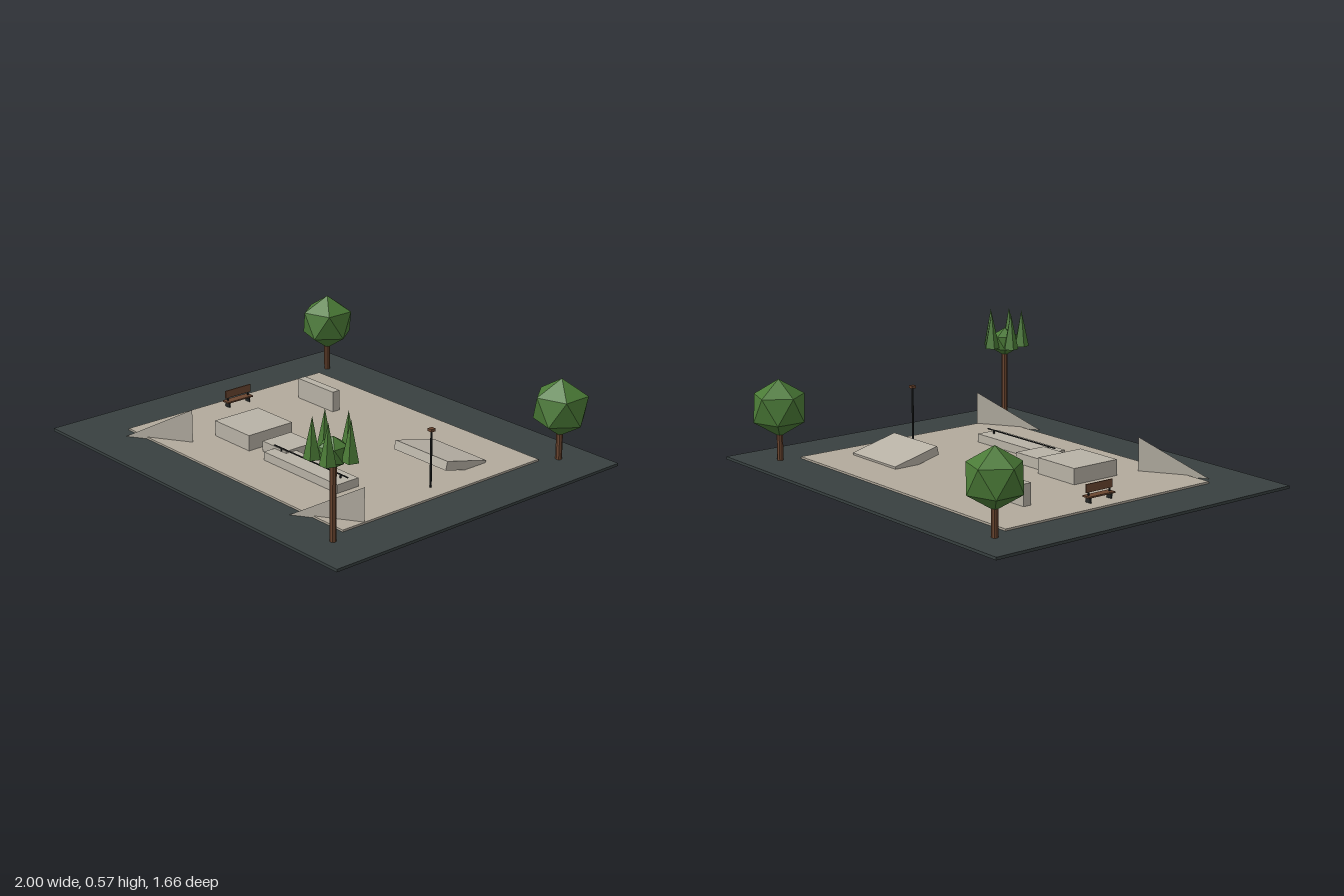
import * as THREE from 'three';

const mat = (name, color, extra = {}) => {
  const m = new THREE.MeshStandardMaterial({ color, flatShading: true, ...extra });
  m.name = name;
  return m;
};

export function createModel() {
  const root = new THREE.Group();
  root.name = 'skatePark';
  const asphalt = mat('asphalt', 0x384040);
  const paving = mat('paving', 0xb2aa9c);
  const concrete = mat('concrete', 0xb8b2a6);
  const sheet = mat('concreteSheet', 0xb8b2a6, { side: THREE.DoubleSide });
  const wood = mat('wood', 0x6b4630);
  const leaf = mat('leaf', 0x4a7a36);
  const metal = mat('metal', 0x222424);

  const add = (name, geo, material, x = 0, y = 0, z = 0, parent = root) => {
    const m = new THREE.Mesh(geo, material);
    m.name = name;
    m.position.set(x, y, z);
    parent.add(m);
    return m;
  };
  // Box given by its extents on each axis
  const box = (name, material, x0, x1, y0, y1, z0, z1, parent) =>
    add(name, new THREE.BoxGeometry(x1 - x0, y1 - y0, z1 - z0), material,
      (x0 + x1) / 2, (y0 + y1) / 2, (z0 + z1) / 2, parent);

  // Ground
  box('base', asphalt, -1, 1, 0.01, 0.023, -0.83, 0.83);
  box('pavedArea', paving, -0.75, 0.75, 0.015, 0.032, -0.58, 0.58);

  // Blocks and ledge
  box('wallBlock', concrete, -0.545, -0.293, 0.03, 0.131, -0.315, -0.273);
  box('largeBlock', concrete, -0.417, -0.17, 0.03, 0.106, 0.08, 0.333);
  box('smallBlock', concrete, -0.127, 0.038, 0.03, 0.082, 0.124, 0.289);
  box('ledge', concrete, -0.043, 0.453, 0.03, 0.072, 0.23, 0.35);

  // Grind rail on posts
  const rail = new THREE.Group();
  rail.name = 'grindRail';
  root.add(rail);
  box('railBar', metal, -0.043, 0.453, 0.086, 0.091, 0.287, 0.292, rail);
  for (const x of [0.005, 0.405]) box('railPost', metal, x - 0.003, x + 0.003, 0.07, 0.088, 0.287, 0.292, rail);

  // Tilted slab ramp
  add('slabRamp', new THREE.BoxGeometry(0.333, 0.042, 0.246), concrete, 0.457, 0.052, -0.252).rotation.x = -0.24;

  // Fin ramps: an upright triangular sheet and its triangular footing
  for (const x of [-0.72, 0.45]) {
    const geo = new THREE.BufferGeometry();
    geo.setAttribute('position', new THREE.Float32BufferAttribute([
      0, 0, 0.19, 0.3, 0, 0, 0.3, 0.18, 0,
      0, 0, 0.19, 0.3, 0, 0, 0.3, 0, 0.19,
    ], 3));
    geo.computeVertexNormals();
    add('finRamp', geo, sheet, x, 0.009, 0.46);
  }

  // Bench
  const bench = new THREE.Group();
  bench.name = 'bench';
  root.add(bench);
  box('benchSeat', wood, -0.691, -0.649, 0.056, 0.063, -0.075, 0.075, bench);
  box('benchBack', wood, -0.673, -0.667, 0.078, 0.115, -0.075, 0.075, bench);
  for (const z of [-0.06, 0.06]) {
    box('benchLeg', metal, -0.685, -0.655, 0.03, 0.056, z - 0.003, z + 0.003, bench);
    box('benchBackPost', metal, -0.672, -0.668, 0.06, 0.08, z - 0.003, z + 0.003, bench);
  }

  // Lamp
  add('lampPole', new THREE.CylinderGeometry(0.005, 0.005, 0.265, 8), metal, 0.662, 0.163, 0);
  box('lampHead', wood, 0.65, 0.674, 0.291, 0.304, -0.012, 0.012);

  // Icosahedron standing on one vertex, with an upper ring corner facing -x
  const crownGeo = (r) => {
    const g = new THREE.IcosahedronGeometry(r, 0);
    const t = (1 + Math.sqrt(5)) / 2;
    g.rotateX(-Math.atan(1 / t)); // brings the (0, t, 1) axis region toward y
    // Align one corner exactly with +y, then a ring corner with -x
    const p = g.attributes.position;
    const v = new THREE.Vector3(), best = new THREE.Vector3(0, -9, 0);
    for (let i = 0; i < p.count; i++) if (v.fromBufferAttribute(p, i).y > best.y) best.copy(v);
    g.applyQuaternion(new THREE.Quaternion().setFromUnitVectors(best.normalize(), new THREE.Vector3(0, 1, 0)));
    for (let i = 0; i < p.count; i++) {
      v.fromBufferAttribute(p, i);
      if (v.y > 0.3 * r && v.y < 0.6 * r) break;
    }
    return g.rotateY(Math.PI + Math.atan2(v.z, v.x));
  };
  const tree = (name, x, z, trunkTop) => {
    const g = new THREE.Group();
    g.name = name;
    g.position.set(x, 0, z);
    root.add(g);
    add('trunk', new THREE.CylinderGeometry(0.015, 0.015, trunkTop - 0.015, 8), wood, 0, (trunkTop + 0.015) / 2, 0, g);
    return g;
  };

  // Round trees
  for (const x of [-0.79, 0.79]) {
    const g = tree('roundTree', x, -0.668, 0.17);
    add('crown', crownGeo(0.136), leaf, 0, 0.27, 0, g);
  }

  // Tall tree with a ring of pointed fronds
  const tall = tree('tallTree', 0.79, 0.668, 0.37);
  add('crown', crownGeo(0.071), leaf, 0, 0.412, 0, tall);
  for (let i = 0; i < 5; i++) {
    const a = -Math.PI / 2 + (i * Math.PI * 2) / 5;
    const cone = add('frond', new THREE.ConeGeometry(0.038, 0.18, 5), leaf,
      Math.cos(a) * 0.083, 0.48, Math.sin(a) * 0.083, tall);
    cone.rotation.y = Math.PI / 2 - a;
  }
  return root;
}
